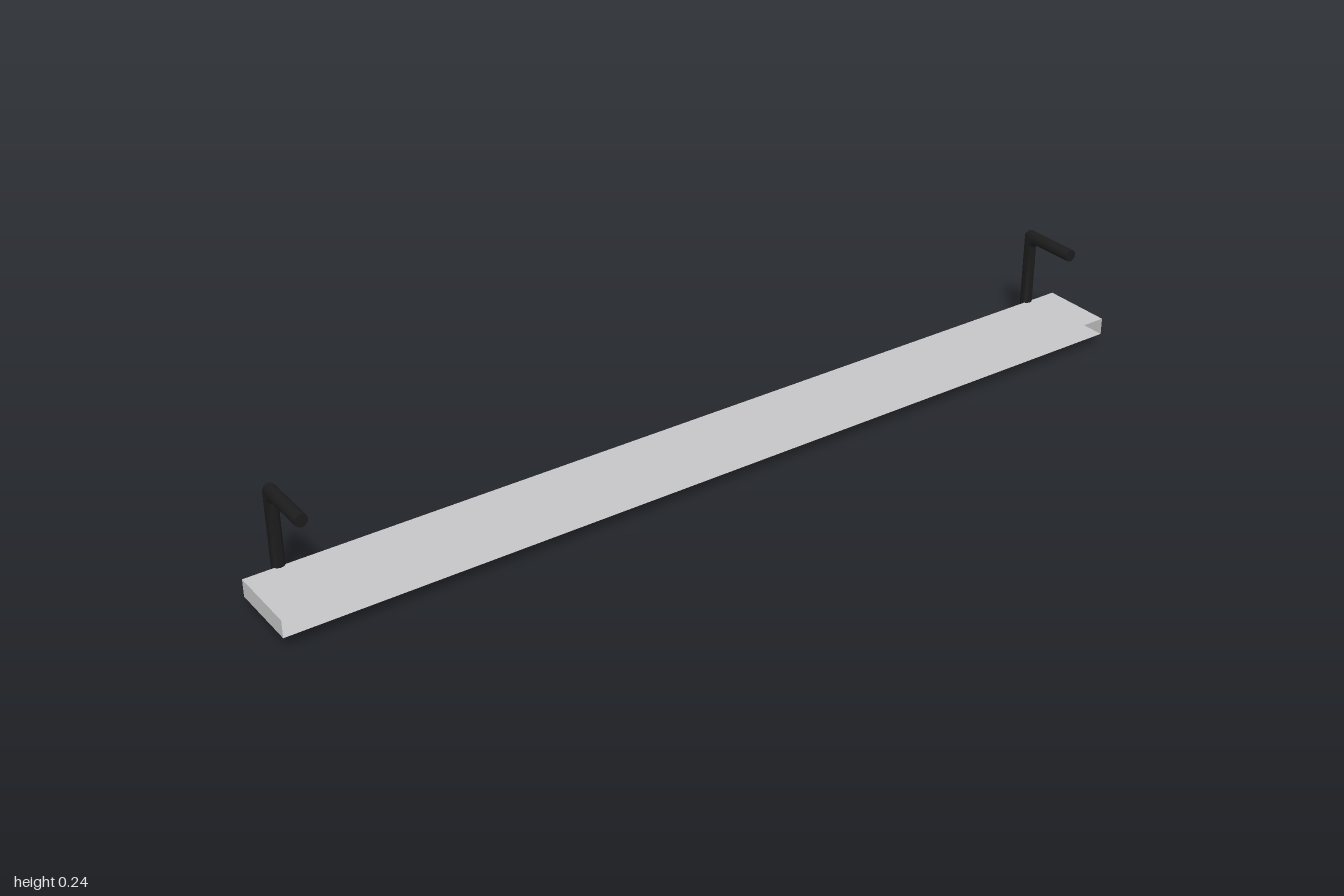
import * as THREE from 'three';
import { toCreasedNormals } from 'three/addons/utils/BufferGeometryUtils.js';

const RADIUS = 0.0135;
const SIDES = 12;

// Square-cornered bar swept through mitred rings: [x, y, ux, uy]
function bracketGeometry() {
  const upper = [
    [0.05, 0.2265, 0, 1],
    [-0.068, 0.2265, -1, 1],
    [-0.0765, 0.218, -1, 1],
  ];
  const lower = upper.map(([x, y, ux, uy]) => [x, 0.24 - y, ux, -uy]).reverse();
  const rings = [...upper, ...lower];
  const positions = [];
  const index = [];

  for (const [x, y, ux, uy] of rings) {
    for (let j = 0; j < SIDES; j++) {
      const a = (j / SIDES) * Math.PI * 2;
      const c = Math.cos(a) * RADIUS;
      positions.push(x + ux * c, y + uy * c, Math.sin(a) * RADIUS);
    }
  }
  for (let i = 0; i < rings.length - 1; i++) {
    for (let j = 0; j < SIDES; j++) {
      const k = (j + 1) % SIDES;
      const a = i * SIDES + j, b = i * SIDES + k;
      index.push(a, a + SIDES, b, b, a + SIDES, b + SIDES);
    }
  }
  // End caps
  const last = (rings.length - 1) * SIDES;
  for (let j = 1; j < SIDES - 1; j++) {
    index.push(0, j, j + 1, last, last + j + 1, last + j);
  }

  const geo = new THREE.BufferGeometry();
  geo.setAttribute('position', new THREE.Float32BufferAttribute(positions, 3));
  geo.setIndex(index);
  return toCreasedNormals(geo, 0.6);
}

export function createModel() {
  const model = new THREE.Group();
  model.name = 'wallShelf';

  const boardGrey = new THREE.MeshStandardMaterial({ color: 0xc5c5c7, side: THREE.DoubleSide });
  boardGrey.name = 'light grey';
  const metalBlack = new THREE.MeshStandardMaterial({ color: 0x1c1c1c });
  metalBlack.name = 'black metal';

  // Hollow board, open along its +x side
  const boardGeo = new THREE.BoxGeometry(0.16, 0.038, 2);
  boardGeo.setIndex(Array.from(boardGeo.index.array).slice(6));
  boardGeo.clearGroups();
  const board = new THREE.Mesh(boardGeo, boardGrey);
  board.name = 'board';
  board.position.set(0.01, 0.048, 0);
  model.add(board);

  // Bent bar brackets near both ends
  const barGeo = bracketGeometry();
  for (const [name, z] of [['frontBracket', 0.925], ['backBracket', -0.925]]) {
    const bracket = new THREE.Mesh(barGeo, metalBlack);
    bracket.name = name;
    bracket.position.z = z;
    model.add(bracket);
  }

  return model;
}
